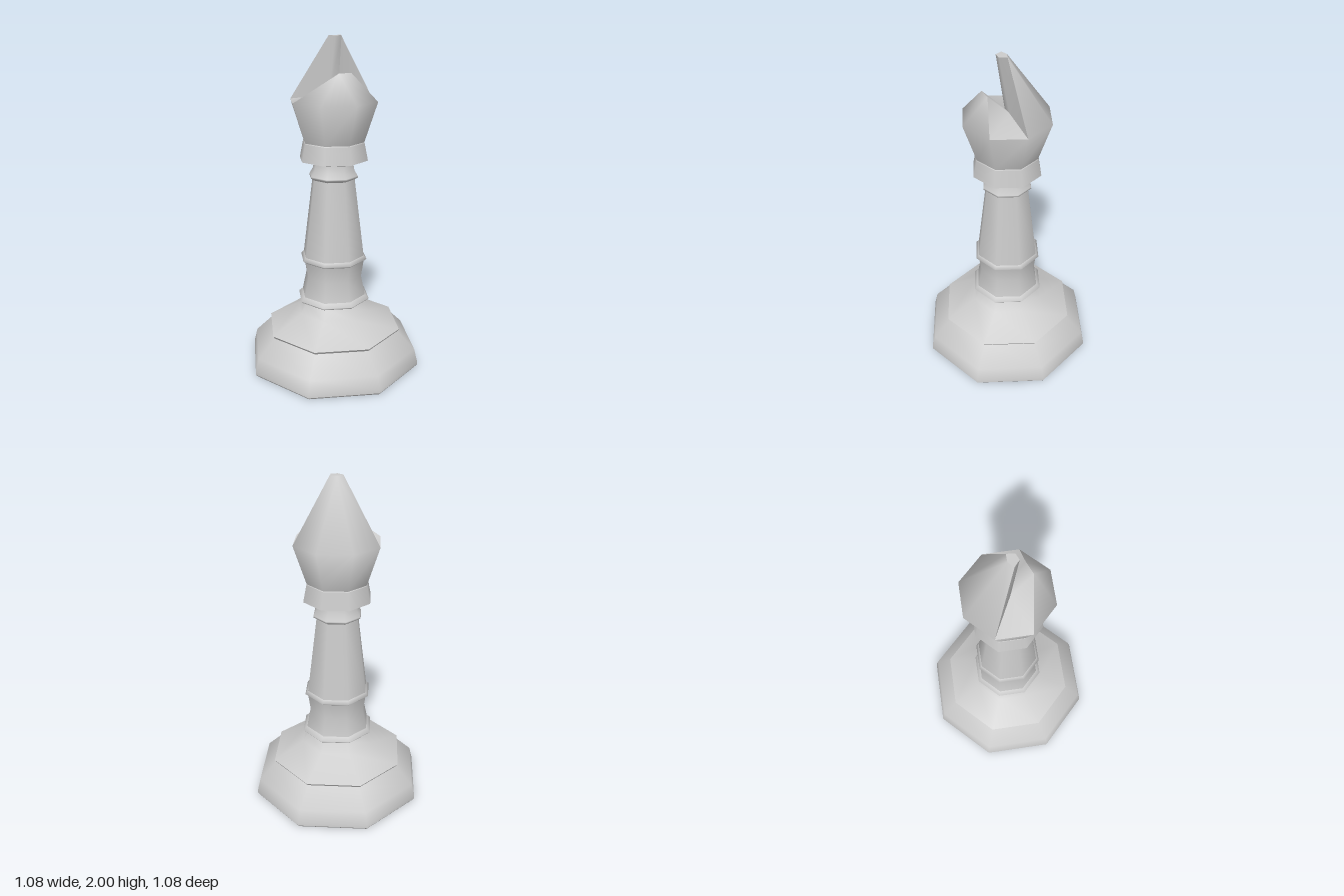
import * as THREE from 'three';

const material = new THREE.MeshStandardMaterial({ color: 0xcccccc });
const SIDES = 8;

function addMesh(group, name, geometry) {
  const mesh = new THREE.Mesh(geometry, material);
  mesh.name = name;
  group.add(mesh);
}

// Eight-sided turned part from a bottom-to-top list of [radius, height]
function turned(group, name, profile) {
  const points = profile.map(([r, y]) => new THREE.Vector2(r, y));
  addMesh(group, name, new THREE.LatheGeometry(points, SIDES));
}

function ring(radius, y) {
  return Array.from({ length: SIDES }, (_, i) => {
    const a = (i / SIDES) * Math.PI * 2;
    return [radius * Math.sin(a), y, radius * Math.cos(a)];
  });
}

// Smooth surface from named corners and triangles of corner names
function surface(corners, triangles) {
  const names = Object.keys(corners);
  const used = names.filter((n) => triangles.some((t) => t.includes(n)));
  const geometry = new THREE.BufferGeometry();
  geometry.setAttribute('position', new THREE.Float32BufferAttribute(used.flatMap((n) => corners[n]), 3));
  geometry.setIndex(triangles.flat().map((n) => used.indexOf(n)));
  geometry.computeVertexNormals();
  return geometry;
}

function buildHead(group) {
  const corners = {
    // flat tip
    T1: [0.04, 2, 0.015], T2: [0, 2, 0], T3: [-0.04, 2, 0.015], T4: [-0.02, 2, 0.055], T5: [0.02, 2, 0.055],
    // front lip and floor of the notch
    F1: [0.04, 1.8, 0.13], F2: [-0.04, 1.8, 0.13],
    V1: [0.03, 1.67, 0], V3: [-0.03, 1.67, 0],
  };
  ring(0.185, 1.4).forEach((p, i) => { corners['L' + i] = p; });
  ring(0.262, 1.635).forEach((p, i) => { corners['R' + i] = p; });
  const tri = (text) => text.split(',').map((t) => t.trim().split(' '));

  // Flared bowl, tall back and short front
  const outer = tri('R2 R3 T1, R3 T2 T1, R3 R4 T2, R4 R5 T2, R5 T3 T2, R6 R7 F2, R7 R0 F2, R0 F1 F2, R0 R1 F1');
  for (let i = 0; i < SIDES; i++) {
    const j = (i + 1) % SIDES;
    outer.push(['L' + i, 'L' + j, 'R' + j], ['L' + i, 'R' + j, 'R' + i]);
  }
  addMesh(group, 'headShell', surface(corners, outer));

  // Skewed notch: upright wall and sloping floor
  addMesh(group, 'notchWall', surface(corners,
    tri('V3 V1 T5, V3 T5 T4, V1 R2 T1, V1 T1 T5, R5 V3 T3, V3 T4 T3')));
  addMesh(group, 'notchFloor', surface(corners,
    tri('R1 R2 V1, R1 V1 F1, F1 V1 V3, F1 V3 F2, F2 V3 R6, R6 V3 R5')));
  addMesh(group, 'headTip', surface(corners, tri('T1 T2 T3, T1 T3 T4, T1 T4 T5')));
}

export function createModel() {
  const model = new THREE.Group();
  model.name = 'chessBishop';

  // Foot
  turned(model, 'baseUnderside', [[0, 0], [0.535, 0]]);
  turned(model, 'baseRim', [[0.535, 0], [0.542, 0.01]]);
  turned(model, 'base', [[0.542, 0.01], [0.54, 0.03], [0.52, 0.11], [0.41, 0.22]]);
  turned(model, 'baseLedge', [[0.41, 0.22], [0.42, 0.235]]);
  turned(model, 'baseTop', [[0.42, 0.235], [0.228, 0.34], [0.185, 0.4]]);

  // Stem with its rings
  turned(model, 'lowerRing', [[0.185, 0.4], [0.215, 0.41], [0.225, 0.422], [0.2, 0.445]]);
  turned(model, 'waist', [[0.2, 0.445], [0.175, 0.565], [0.19, 0.665]]);
  turned(model, 'middleRing', [[0.19, 0.665], [0.208, 0.68], [0.19, 0.7]]);
  turned(model, 'shaft', [[0.19, 0.7], [0.13, 1.175]]);
  turned(model, 'upperRing', [[0.13, 1.175], [0.15, 1.188], [0.148, 1.197], [0.128, 1.23], [0.12, 1.27]]);

  // Collar and notched head
  turned(model, 'collarUnderside', [[0.1, 1.27], [0.12, 1.27], [0.208, 1.292]]);
  turned(model, 'collar', [[0.208, 1.292], [0.187, 1.395]]);
  turned(model, 'collarTop', [[0.187, 1.395], [0.183, 1.402]]);
  buildHead(model);

  return model;
}
